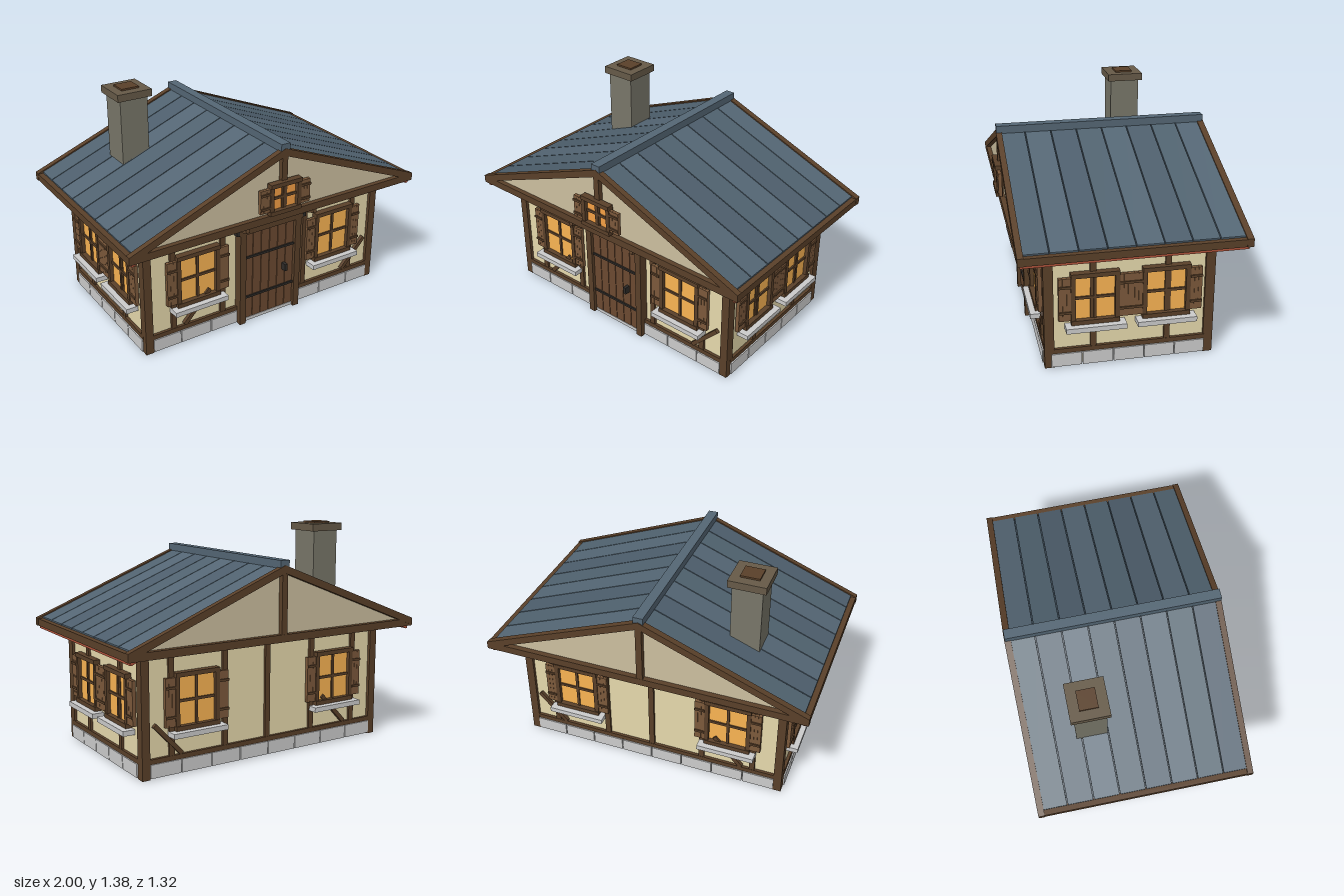
import * as THREE from 'three';

const mat = (color) => new THREE.MeshStandardMaterial({ color, flatShading: true, side: THREE.DoubleSide });
const M = {
  wall: mat(0xe6d9ac), gable: mat(0xccbf9f), wood: mat(0x5a4029), door: mat(0x6b4930), shutter: mat(0x7c593b),
  glass: mat(0xfab453), glow: mat(0xf5a045), iron: mat(0x2e2b28), stone: mat(0xcccccc), red: mat(0xac523a),
  awning: mat(0xa8743c), chimney: mat(0x787669), cap: mat(0x665a48),
  slate: [mat(0x50626f), mat(0x546674), mat(0x4d5e6c)], dark: mat(0x364450),
};

function box(parent, name, material, w, h, d, x, y, z) {
  const m = new THREE.Mesh(new THREE.BoxGeometry(w, h, d), material);
  m.name = name;
  m.position.set(x, y, z);
  parent.add(m);
  return m;
}

function group(parent, name, x = 0, y = 0, z = 0, turn = 0) {
  const g = new THREE.Group();
  g.name = name;
  g.position.set(x, y, z);
  g.rotation.y = turn;
  parent.add(g);
  return g;
}

// Solid with an outline in x and y, running from z0 to z1
function prism(parent, name, material, points, z0, z1) {
  const shape = new THREE.Shape(points.map(([x, y]) => new THREE.Vector2(x, y)));
  const m = new THREE.Mesh(new THREE.ExtrudeGeometry(shape, { depth: z1 - z0, bevelEnabled: false }), material);
  m.name = name;
  m.position.z = z0;
  parent.add(m);
  return m;
}

// Window centred on its pane, wall at z = 0, facing +z
function addWindow(parent, x, y, w, h, shutterW, sill, glass, z = 0) {
  const g = group(parent, 'window', x, y, z);
  const f = 0.026;
  box(g, 'pane', glass, w, h, 0.012, 0, 0, 0.006);
  for (const s of [-1, 1]) {
    box(g, 'frameSide', M.wood, f, h, 0.036, s * (w + f) / 2, 0, 0.018);
    box(g, 'frameRail', M.wood, w + 2 * f, f, 0.042, 0, s * (h + f) / 2, 0.021);
    const sh = group(g, 'shutter', s * (w / 2 + f + shutterW / 2), 0, 0);
    for (const p of [-1, 0, 1]) {
      box(sh, 'shutterBoard', M.shutter, shutterW / 3 - 0.001, h, 0.022, p * shutterW / 3, 0, 0.02);
    }
    for (const b of [-1, 1]) box(sh, 'shutterBar', M.wood, shutterW, 0.014, 0.01, 0, b * h * 0.3, 0.034);
  }
  box(g, 'muntinUpright', M.wood, 0.016, h, 0.014, 0, 0, 0.014);
  box(g, 'muntinCross', M.wood, w, 0.016, 0.014, 0, 0, 0.014);
  if (sill) box(g, 'sill', M.stone, w + 0.12, 0.03, 0.075, 0, -h / 2 - 0.043, 0.0375);
}

// Timber and plinth on one wall facing +z, wall surface at z = 0
function addFraming(g, half, studs, stoneEdges) {
  box(g, 'lowerBeam', M.wood, half * 2, 0.028, 0.018, 0, 0.102, 0.009);
  box(g, 'upperBeam', M.wood, half * 2, 0.03, 0.018, 0, 0.705, 0.009);
  for (const x of studs) box(g, 'stud', M.wood, 0.034, 0.6, 0.016, x, 0.41, 0.008);
  for (let i = 0; i + 1 < stoneEdges.length; i++) {
    const [a, b] = [stoneEdges[i], stoneEdges[i + 1]];
    if (a === -0.22) continue; // doorway
    box(g, 'plinthStone', M.stone, b - a - 0.006, 0.08, 0.026, (a + b) / 2, 0.048, 0.013);
  }
}

function addBrace(g, x, flip) {
  const b = box(g, 'brace', M.wood, 0.255, 0.026, 0.022, x, 0.215, 0.013);
  b.rotation.z = flip * 0.82;
}

function addDoor(g) {
  const d = group(g, 'door');
  for (const s of [-1, 1]) box(d, 'doorPost', M.wood, 0.042, 0.65, 0.055, s * 0.2, 0.325, 0.0275);
  box(d, 'doorLintel', M.wood, 0.46, 0.042, 0.058, 0, 0.638, 0.029);
  box(d, 'doorBacking', M.wood, 0.36, 0.6, 0.02, 0, 0.315, 0.01);
  for (let i = 0; i < 6; i++) box(d, 'doorBoard', M.door, 0.056, 0.59, 0.02, -0.15 + i * 0.06, 0.32, 0.025);
  for (const y of [0.175, 0.45]) box(d, 'hingeStrap', M.iron, 0.36, 0.014, 0.01, 0, y, 0.039);
  box(d, 'doorStep', M.stone, 0.36, 0.022, 0.035, 0, 0.012, 0.018);
  box(d, 'handle', M.iron, 0.02, 0.046, 0.035, 0.105, 0.312, 0.055);
}

// Small sloping canopy and its brackets over the door
function addCanopy(g) {
  const c = group(g, 'canopy', 0, 0.678, 0.085);
  c.rotation.x = -0.32;
  for (let i = 0; i < 8; i++) box(c, 'canopyBoard', M.awning, 0.064, 0.014, 0.14, -0.238 + i * 0.068, 0.016, 0);
  for (const s of [-1, 1]) {
    box(c, 'canopyStrut', M.wood, 0.024, 0.02, 0.15, s * 0.24, 0, 0);
    box(g, 'bracket', M.iron, 0.022, 0.058, 0.03, s * 0.24, 0.653, 0.045);
  }
}

function addRoof(root) {
  const roof = group(root, 'roof');
  const slope = 0.395;
  const line = (x, drop) => [x, 1.165 - slope * Math.abs(x) - drop];
  // Gable walls and the soffit below
  for (const [z0, z1] of [[0.585, 0.605], [-0.625, -0.605]]) {
    prism(roof, 'gableWall', M.gable, [[-0.97, 0.745], [0.97, 0.745], line(0, 0.03)], z0, z1);
  }
  box(roof, 'soffit', M.dark, 1.94, 0.012, 1.24, 0, 0.728, -0.01);
  // Timber along both gables
  for (const [z0, z1] of [[0.602, 0.637], [-0.66, -0.622]]) {
    const chevron = [line(0, 0), line(1, 0), line(1, 0.045), line(0, 0.045), line(-1, 0.045), line(-1, 0)];
    prism(roof, 'rakeBoard', M.wood, chevron, z0, z1);
    const zm = (z0 + z1) / 2;
    box(roof, 'tieBeam', M.wood, 2, 0.045, z1 - z0 - 0.004, 0, 0.744, zm);
    box(roof, 'kingPost', M.wood, 0.038, 0.38, z1 - z0 - 0.006, 0, 0.94, zm);
  }
  // Slate boards, eaves boards and red strips on both slopes
  for (const s of [-1, 1]) {
    const deck = [line(0, 0.026), line(s * 0.97, 0.026), line(s * 0.97, 0.036), line(0, 0.036)];
    prism(roof, 'roofDeck', M.dark, deck, -0.625, 0.605);
    for (let i = 0; i < 8; i++) {
      const z = -0.637 + i * 0.157;
      const board = [line(0, 0.008), line(s * 0.965, 0.008), line(s * 0.965, 0.026), line(0, 0.026)];
      prism(roof, 'roofBoard', M.slate[(i * 2 + (s > 0 ? 1 : 0)) % 3], board, z + 0.003, z + 0.154);
    }
    box(roof, 'eavesBoard', M.wood, 0.042, 0.044, 1.29, s * 0.977, 0.745, -0.011);
    const strip = [[s * 0.925, 0.722], [s * 0.98, 0.722], [s * 0.98, 0.702], [s * 0.968, 0.702]];
    prism(roof, 'eavesStrip', M.red, strip, -0.64, 0.622);
  }
  box(roof, 'ridgeCap', M.slate[1], 0.06, 0.046, 1.29, 0, 1.171, -0.01);
  addWindow(roof, 0, 0.872, 0.165, 0.145, 0.066, false, M.glow, 0.617);
}

function addChimney(root) {
  const c = group(root, 'chimney', -0.53, 0, -0.262);
  box(c, 'chimneyStack', M.chimney, 0.18, 0.46, 0.185, 0, 1.1, 0);
  box(c, 'chimneyCap', M.cap, 0.226, 0.045, 0.225, 0, 1.342, 0);
  box(c, 'flue', M.wood, 0.116, 0.012, 0.108, 0, 1.369, 0);
}

export function createModel() {
  const root = new THREE.Group();
  root.name = 'cottage';
  box(root, 'walls', M.wall, 1.66, 0.715, 0.945, 0, 0.3655, -0.0075);
  for (const x of [-0.822, 0.822]) {
    for (const z of [0.457, -0.472]) box(root, 'cornerPost', M.wood, 0.05, 0.72, 0.056, x, 0.36, z);
  }

  // Front and back walls
  const front = group(root, 'frontWall', 0, 0, 0.465);
  addFraming(front, 0.8, [-0.655, -0.32, 0.28, 0.655], [-0.8, -0.615, -0.408, -0.22, 0.22, 0.408, 0.63, 0.8]);
  const back = group(root, 'backWall', 0, 0, -0.48, Math.PI);
  addFraming(back, 0.8, [-0.655, -0.3, 0, 0.33, 0.655], [-0.8, -0.6, -0.4, -0.2, 0, 0.2, 0.4, 0.6, 0.8]);
  for (const x of [-0.495, 0.495]) {
    addWindow(front, x, 0.427, 0.236, 0.283, 0.064, true, M.glass);
    addWindow(back, x, 0.427, 0.236, 0.283, 0.064, true, M.glass);
  }
  for (const x of [-0.5, 0.68]) {
    addBrace(front, x, 1);
    addBrace(back, -x, -1);
  }
  addDoor(front);
  addCanopy(front);

  // Side walls, each with a pair of windows
  for (const s of [-1, 1]) {
    const side = group(root, 'sideWall', s * 0.83, 0, 0, s * Math.PI / 2);
    const xs = [-s * 0.205, s * 0.225];
    addFraming(side, 0.45, xs, [-0.45, -0.27, -0.09, 0.09, 0.27, 0.45]);
    addWindow(side, -s * 0.195, 0.428, 0.225, 0.262, 0.07, true, M.glass);
    addWindow(side, s * 0.213, 0.428, 0.225, 0.262, 0.07, true, M.glass);
  }

  addRoof(root);
  addChimney(root);
  return root;
}
